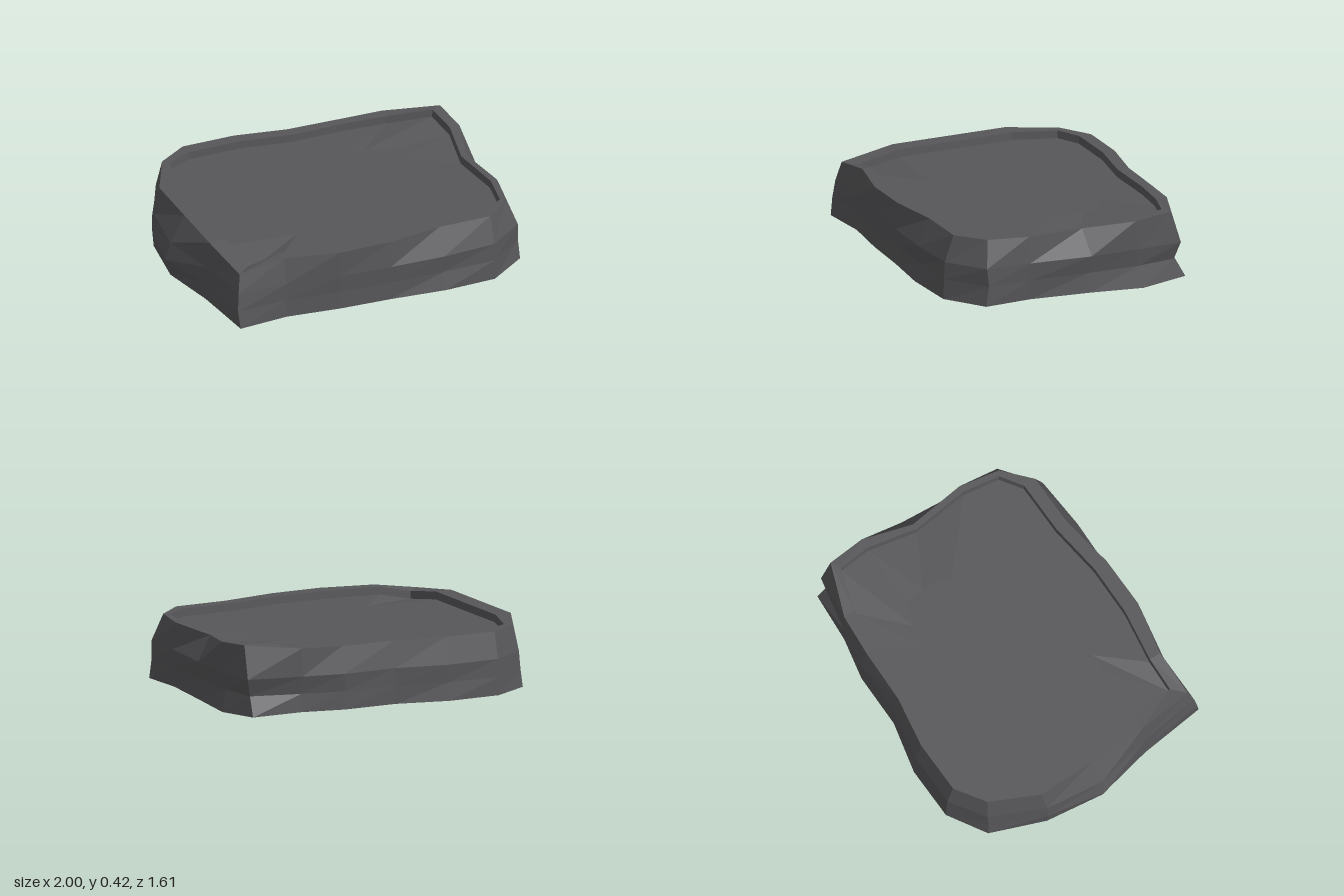
import * as THREE from 'three';

// Outlines as x, z pairs, running round the slab from the front corner at -x
const BOTTOM = [-.86,.75, -.56,.725, -.24,.76, .07,.775, .4,.805, .72,.775, .95,.61, .94,.33, .98,-.03, 1,-.36,
  .955,-.645, .65,-.67, .4,-.725, .07,-.73, -.24,-.805, -.56,-.805, -.79,-.67, -.92,-.35, -.97,0, -.9,.35];
const LOWER = [-.87,.735, -.56,.72, -.24,.755, .07,.77, .4,.775, .72,.77, .945,.59, .945,.33, .965,-.03, .97,-.34,
  .94,-.58, .65,-.66, .4,-.72, .07,-.73, -.24,-.79, -.56,-.8, -.78,-.66, -.93,-.35, -1,0, -.9,.35];
const UPPER = [-.86,.72, -.56,.72, -.24,.76, .07,.775, .4,.785, .72,.765, .94,.6, .95,.33, .985,-.04, .985,-.33,
  .97,-.61, .65,-.68, .4,-.73, .07,-.73, -.24,-.795, -.56,-.795, -.77,-.66, -.92,-.35, -.97,0, -.9,.35];
const RIM = [-.84,.69, -.56,.69, -.24,.76, .07,.76, .4,.71, .72,.71, .88,.57, .93,.33, .895,-.02, .98,-.32,
  .96,-.55, .65,-.67, .4,-.69, .07,-.7, -.24,-.755, -.56,-.755, -.74,-.64, -.88,-.36, -.88,0, -.88,.35];
const LIP = [-.76,.62, -.56,.62, -.24,.67, .07,.675, .4,.635, .72,.635, .85,.55, .89,.33, .86,-.02, .92,-.32,
  .9,-.52, .65,-.6, .4,-.63, .07,-.63, -.24,-.68, -.56,-.68, -.7,-.61, -.78,-.36, -.78,0, -.78,.35];

// Turns an outline into points; lifts holds height changes by point index
function ring(outline, y, lifts = {}, scale = 1) {
  return Array.from({ length: outline.length / 2 }, (_, i) =>
    new THREE.Vector3(outline[2 * i] * scale, y + (lifts[i] || 0), outline[2 * i + 1] * scale));
}

// Skins a list of rings, with an optional closing point at the end
function skin(name, rings, material, tip) {
  const pos = [];
  const tri = (...pts) => pts.forEach(p => pos.push(p.x, p.y, p.z));
  rings.forEach((a, k) => {
    const b = rings[k + 1];
    a.forEach((p, i) => {
      const j = (i + 1) % a.length;
      if (b) {
        tri(p, a[j], b[j]);
        tri(p, b[j], b[i]);
      } else if (tip) tri(p, a[j], tip);
    });
  });
  const geometry = new THREE.BufferGeometry();
  geometry.setAttribute('position', new THREE.Float32BufferAttribute(pos, 3));
  geometry.computeVertexNormals();
  const mesh = new THREE.Mesh(geometry, material);
  mesh.name = name;
  return mesh;
}

export function createModel() {
  const group = new THREE.Group();
  group.name = 'stoneSlab';
  const stone = new THREE.MeshStandardMaterial({ color: 0x57575a, flatShading: true });
  stone.name = 'dark stone';

  const baseDip = { 5: -.012, 6: -.012, 7: -.01, 8: -.01, 9: -.022, 10: -.005 };
  const topLift = { 0: -.045, 8: -.01, 9: .015, 10: .035, 11: .008 };
  const base = ring(BOTTOM, .025, baseDip);
  const rim = ring(RIM, .39, topLift);
  const lip = ring(LIP, .39, topLift);
  const floorEdge = ring(LIP, .345, topLift, .995);

  // Rough outer wall, flat rim and the shallow sunken top
  group.add(
    skin('sides', [base, ring(LOWER, .13), ring(UPPER, .235), rim], stone),
    skin('rim', [rim, lip], stone),
    skin('recessWall', [lip, floorEdge], stone),
    skin('recessFloor', [floorEdge, ring(LIP, .345, {}, .6)], stone, new THREE.Vector3(0, .345, 0)),
    skin('underside', [base.slice().reverse()], stone, new THREE.Vector3(0, .025, 0)),
  );
  return group;
}
